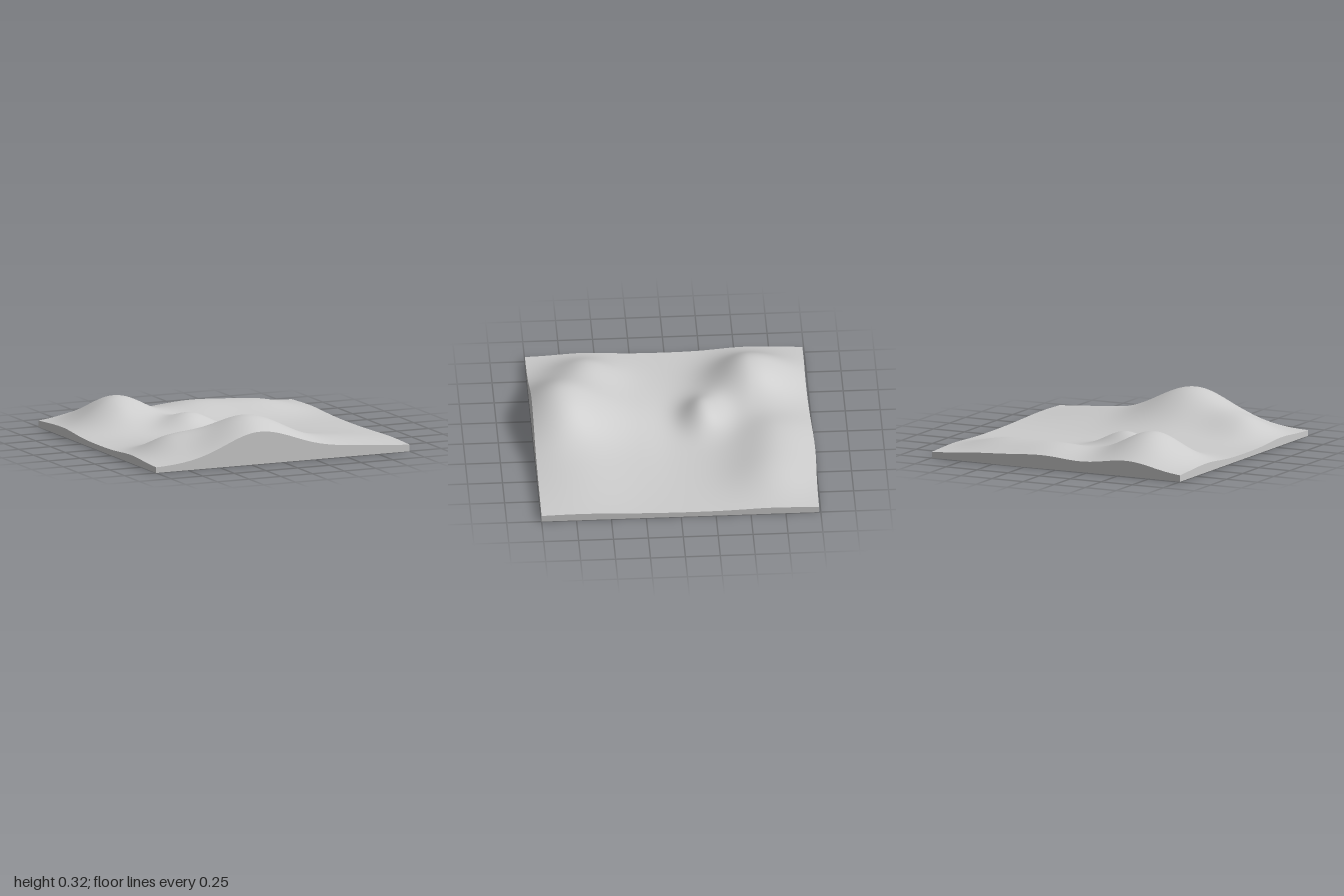
import * as THREE from 'three';

const N = 96; // grid cells per side
const grey = new THREE.MeshStandardMaterial({ color: 0xcccccc, side: THREE.DoubleSide });

// Hills: centre x, z, height, then spread to -x, +x, -z, +z
const hills = [
  [-0.18, 0.79, 0.28, 0.27, 0.30, 0.28, 0.25], // front ridge
  [-0.70, 0.58, 0.11, 0.16, 0.20, 0.17, 0.17], // ridge shoulder
  [0.55, 0.72, 0.05, 0.25, 0.30, 0.28, 0.30],  // low right shoulder
  [-0.05, 0.24, 0.02, 0.35, 0.35, 0.13, 0.20], // valley swell
  [-0.57, -0.58, 0.222, 0.21, 0.23, 0.27, 0.19], // rear peak
  [-0.16, -0.22, 0.12, 0.15, 0.15, 0.12, 0.10], // small knoll
  [0.12, -0.74, 0.095, 0.22, 0.25, 0.25, 0.20], // rear ridge
  [0.60, -0.67, 0.075, 0.22, 0.22, 0.22, 0.20], // rear ridge end
];

const bell = (d, sMinus, sPlus) => Math.exp(-0.5 * (d / (d < 0 ? sMinus : sPlus)) ** 2);

function heightAt(x, z) {
  let y = 0.038;
  for (const [cx, cz, h, xl, xr, zb, zf] of hills) y += h * bell(x - cx, xl, xr) * bell(z - cz, zb, zf);
  return y;
}

// Point on the ground; the rear edge wavers slightly
function groundPoint(u, v) {
  const x = 2 * u - 1;
  const rear = -0.988 - 0.012 * bell(x - 0.35, 0.2, 0.2) + 0.008 * bell(x + 0.5, 0.2, 0.2);
  const z = rear + (1 - rear) * v;
  return [x, heightAt(x, z), z];
}

// Grid surface from a function of two parameters
function gridMesh(name, nu, nv, point) {
  const pos = [], index = [];
  for (let j = 0; j <= nv; j++)
    for (let i = 0; i <= nu; i++) pos.push(...point(i / nu, j / nv));
  for (let j = 0; j < nv; j++)
    for (let i = 0; i < nu; i++) {
      const a = j * (nu + 1) + i, b = a + nu + 1;
      index.push(a, b, a + 1, b, b + 1, a + 1);
    }
  const geo = new THREE.BufferGeometry();
  geo.setAttribute('position', new THREE.Float32BufferAttribute(pos, 3));
  geo.setIndex(index);
  geo.computeVertexNormals();
  const mesh = new THREE.Mesh(geo, grey);
  mesh.name = name;
  return mesh;
}

// Upright skirt from an edge of the ground down to y = 0
function skirt(name, edge) {
  return gridMesh(name, N, 1, (t, s) => {
    const [x, y, z] = groundPoint(...edge(t));
    return [x, y * (1 - s), z];
  });
}

export function createModel() {
  const group = new THREE.Group();
  group.name = 'terrain';
  group.add(
    gridMesh('ground', N, N, groundPoint),
    skirt('frontSkirt', t => [t, 1]),
    skirt('backSkirt', t => [1 - t, 0]),
    skirt('leftSkirt', t => [1, 1 - t]),
    skirt('rightSkirt', t => [0, t]),
  );
  return group;
}
